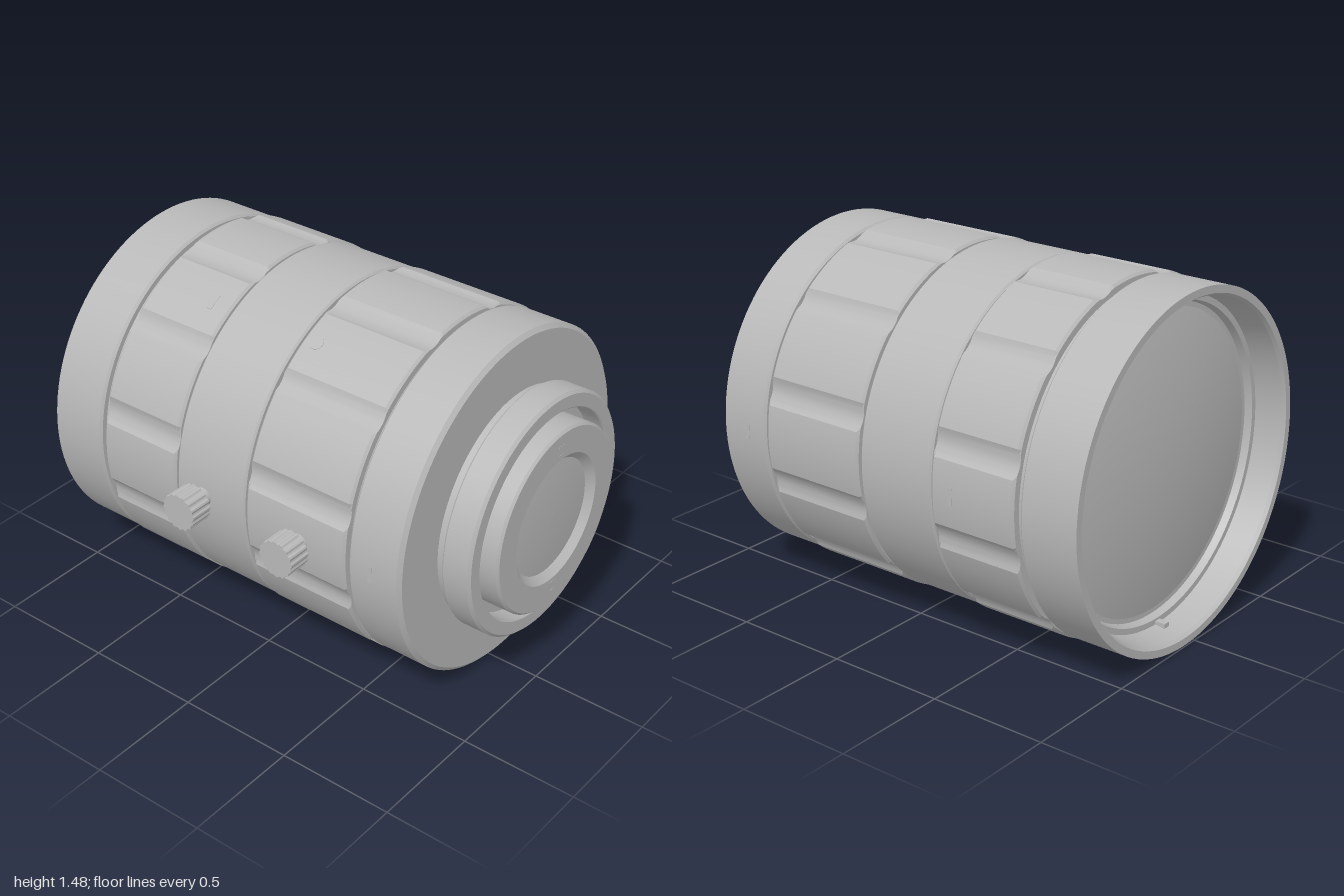
import * as THREE from 'three';
import { toCreasedNormals } from 'three/addons/utils/BufferGeometryUtils.js';

const metal = new THREE.MeshStandardMaterial({ color: 0xb8b8b8 });
metal.name = 'grey metal';

const R = 0.732; // barrel radius

function add(parent, name, geometry) {
  const mesh = new THREE.Mesh(geometry, metal);
  mesh.name = name;
  parent.add(mesh);
  return mesh;
}

// Revolve [x, radius] points about the x axis
function revolve(points, segments = 120) {
  const g = new THREE.LatheGeometry(points.map(([x, r]) => new THREE.Vector2(r, x)), segments);
  return g.rotateZ(-Math.PI / 2);
}

// Chamfered ring profile from x0 to x1
const band = (x0, x1, r, c) => [[x0, 0.69], [x0, r - c], [x0 + c, r], [x1 - c, r], [x1, r - c], [x1, 0.69]];

// Grip ring with twelve concave flutes pressed into its rim
function gripRing(x0, x1) {
  const g = revolve(band(x0, x1, 0.738, 0.01), 240);
  const p = g.attributes.position;
  for (let i = 0; i < p.count; i++) {
    const y = p.getY(i), z = p.getZ(i), r = Math.hypot(y, z);
    const deg = THREE.MathUtils.radToDeg(Math.atan2(y, z)) + 360;
    const t = Math.abs((deg % 30) - 15) / 4.5;
    if (t >= 1) continue;
    const k = Math.min(r, 0.718 + 0.02 * t * t) / r;
    p.setXYZ(i, p.getX(i), y * k, z * k);
  }
  return toCreasedNormals(g, 0.4);
}

// Small plate laid on the barrel at an angle up from the front
function onBarrel(parent, name, geometry, x, degrees, r) {
  const pivot = new THREE.Group();
  pivot.name = name + 'Mount';
  pivot.rotation.x = -THREE.MathUtils.degToRad(degrees);
  add(pivot, name, geometry).position.set(x, 0, r);
  parent.add(pivot);
}

// Knurled thumb screw standing out towards +z
function thumbScrew(x) {
  const screw = new THREE.Group();
  screw.name = 'thumbScrew';
  const teeth = [];
  for (let i = 0; i < 64; i++) {
    const a = (i / 64) * Math.PI * 2, r = i % 4 < 2 ? 0.08 : 0.075;
    teeth.push(new THREE.Vector2(r * Math.cos(a), r * Math.sin(a)));
  }
  const knob = new THREE.ExtrudeGeometry(new THREE.Shape(teeth), { depth: 0.1, bevelEnabled: false });
  add(screw, 'knob', knob).position.z = 0.777;
  const stem = new THREE.CylinderGeometry(0.028, 0.028, 0.1, 24).rotateX(Math.PI / 2);
  add(screw, 'stem', stem).position.z = 0.74;
  const collar = new THREE.CylinderGeometry(0.04, 0.04, 0.06, 24).rotateX(Math.PI / 2);
  add(screw, 'collar', collar).position.z = 0.73;
  screw.position.x = x;
  return screw;
}

export function createModel() {
  const model = new THREE.Group();
  const lens = new THREE.Group();
  lens.name = 'lens';
  lens.position.set(0, 0.738, -0.0725);
  model.add(lens);

  // Front barrel with recessed opening, continuing as the inner core
  add(lens, 'frontBarrel', toCreasedNormals(revolve([
    [-0.84, 0.58], [-0.84, 0.64], [-0.87, 0.65], [-0.87, 0.675], [-0.985, 0.69], [-1, 0.7],
    [-1, R], [-0.755, R], [-0.745, R - 0.01], [-0.745, 0.7], [0.6, 0.7],
  ]), 0.4));

  // Domed front glass
  const dome = [];
  for (let i = 0; i <= 12; i++) {
    const r = (i / 12) * 0.62;
    dome.push([-0.9 + 0.06 * (r / 0.62) ** 2, r]);
  }
  add(lens, 'frontGlass', revolve(dome, 96));

  // Grip rings and plain rings
  add(lens, 'focusGrip', gripRing(-0.718, -0.328));
  add(lens, 'middleRing', toCreasedNormals(revolve(band(-0.322, 0.03, R, 0.008)), 0.4));
  add(lens, 'irisGrip', gripRing(0.042, 0.53));
  add(lens, 'rearRing', toCreasedNormals(revolve([
    [0.545, 0.69], [0.545, R - 0.01], [0.555, R], [0.77, R], [0.785, R - 0.018], [0.785, 0.3],
  ]), 0.4));

  // Mount flange with an open channel around the rear tube
  add(lens, 'mountFlange', toCreasedNormals(revolve([
    [0.78, 0.49], [0.822, 0.49], [0.822, 0.51], [0.83, 0.517], [0.938, 0.517], [0.95, 0.505],
    [0.95, 0.45], [0.945, 0.445], [0.86, 0.445], [0.86, 0.39],
  ]), 0.4));

  // Rear tube with funnel and rear glass
  add(lens, 'rearTube', toCreasedNormals(revolve([
    [0.85, 0.402], [0.99, 0.402], [1, 0.392], [1, 0.28], [0.97, 0.25],
  ]), 0.4));
  add(lens, 'rearGlass', revolve([[0.97, 0.25], [0.976, 0.17], [0.979, 0.085], [0.98, 0]], 72));
  for (const s of [1, -1]) {
    for (const r of [0.3, 0.34]) {
      add(lens, 'rearSlot', new THREE.BoxGeometry(0.004, 0.007, 0.036)).position.set(0.999, s * r, 0);
    }
  }

  // Locking screws
  lens.add(thumbScrew(-0.185), thumbScrew(0.31));

  // Small slots and set screw around the barrel
  const slot = new THREE.BoxGeometry(0.02, 0.07, 0.006);
  for (const a of [60, 180, -60]) onBarrel(lens, 'gripSlot', slot, -0.42, a, 0.736);
  for (const a of [0, 180]) onBarrel(lens, 'ringSlot', slot, 0.645, a, 0.73);
  const disc = new THREE.CylinderGeometry(0.03, 0.03, 0.006, 24).rotateX(Math.PI / 2);
  onBarrel(lens, 'setScrew', disc, 0.105, 60, 0.736);

  // Key tab inside the front opening
  add(lens, 'frontTab', new THREE.BoxGeometry(0.05, 0.02, 0.03)).position.set(-0.89, -0.67, 0);

  return model;
}
